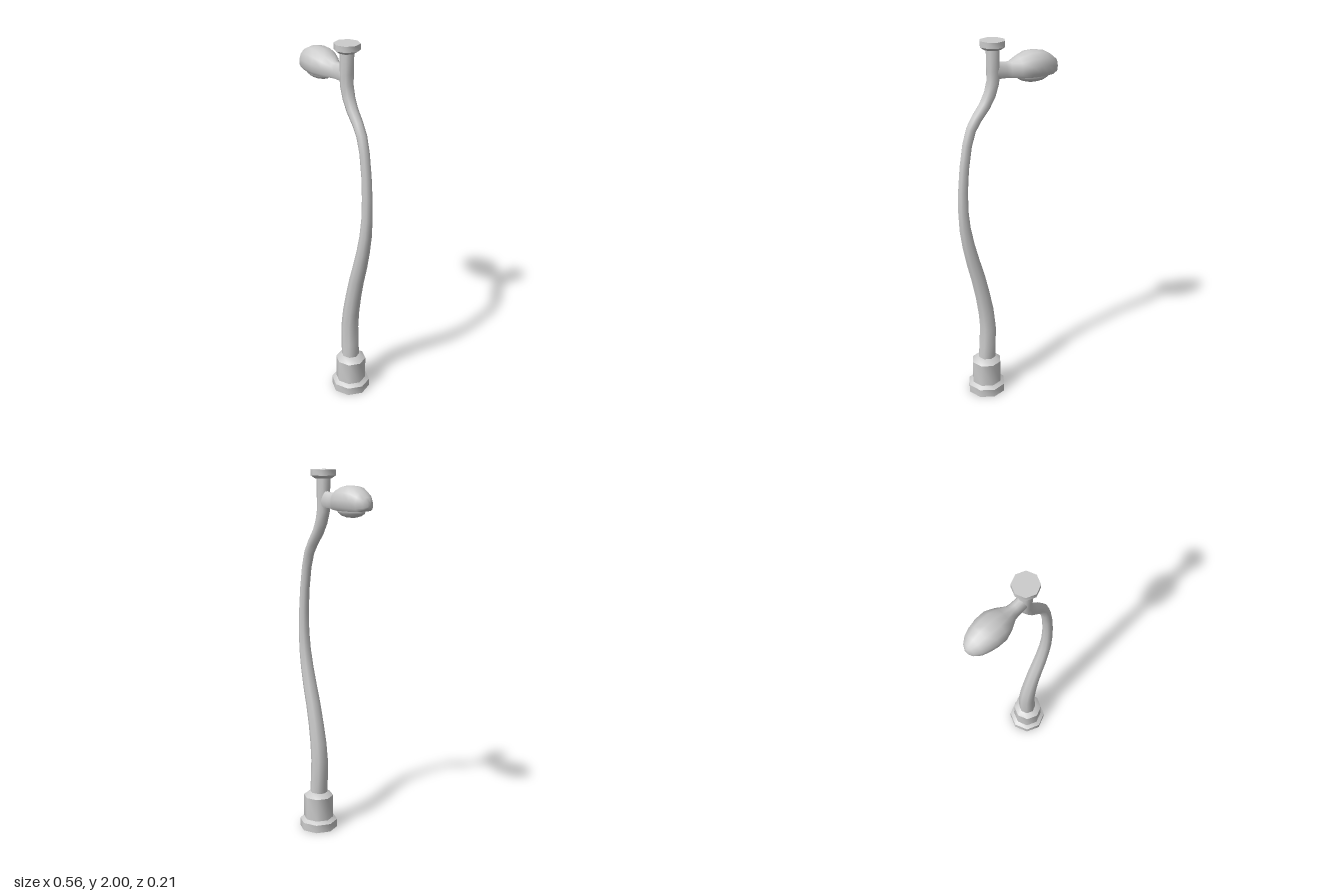
import * as THREE from 'three';
import { toCreasedNormals } from 'three/addons/utils/BufferGeometryUtils.js';

const material = new THREE.MeshStandardMaterial({ color: 0xcccccc });

// Skin a list of equal-length rings of points, closing both ends with fans.
function loft(rings) {
  const n = rings[0].length;
  const points = rings.flat();
  const index = [];
  for (let i = 0; i < rings.length - 1; i++) {
    for (let j = 0; j < n; j++) {
      const a = i * n + j, b = i * n + (j + 1) % n;
      index.push(a, a + n, b, b, a + n, b + n);
    }
  }
  const last = (rings.length - 1) * n;
  for (let j = 1; j < n - 1; j++) {
    index.push(0, j, j + 1, last, last + j + 1, last + j);
  }
  const geometry = new THREE.BufferGeometry().setFromPoints(points);
  geometry.setIndex(index);
  return toCreasedNormals(geometry, 0.85);
}

// Eight-sided turned part from [radius, y] pairs.
function turned(profile) {
  const points = profile.map(([r, y]) => new THREE.Vector2(r, y));
  return toCreasedNormals(new THREE.LatheGeometry(points, 8), 0.85);
}

export function createModel() {
  const group = new THREE.Group();
  const add = (name, geometry, x = 0, y = 0) => {
    const mesh = new THREE.Mesh(geometry, material);
    mesh.name = name;
    mesh.position.set(x, y, 0);
    group.add(mesh);
    return mesh;
  };

  // Stepped octagonal foot
  add('base', turned([
    [0, 0], [0.106, 0], [0.106, 0.045], [0.083, 0.06],
    [0.083, 0.19], [0.05, 0.215], [0, 0.215],
  ]), 0.128);

  // Curved, tapering pole: x, y, radius along its centre line
  const path = [
    [0.125, 0.19, 0.049], [0.12, 0.3, 0.048], [0.117, 0.4, 0.047],
    [0.127, 0.5, 0.045], [0.147, 0.61, 0.042], [0.172, 0.72, 0.04],
    [0.2, 0.82, 0.038], [0.224, 0.92, 0.035], [0.242, 1.02, 0.032],
    [0.25, 1.12, 0.029], [0.249, 1.24, 0.027], [0.24, 1.36, 0.026],
    [0.222, 1.48, 0.026], [0.199, 1.56, 0.027], [0.167, 1.615, 0.028],
    [0.122, 1.675, 0.03], [0.094, 1.73, 0.032], [0.077, 1.79, 0.034],
    [0.076, 1.85, 0.035], [0.077, 1.97, 0.036],
  ];
  add('pole', loft(path.map(([x, y, r], i) => {
    const [x0, y0] = path[Math.max(i - 1, 0)];
    const [x1, y1] = path[Math.min(i + 1, path.length - 1)];
    const t = new THREE.Vector2(x1 - x0, y1 - y0).normalize();
    return Array.from({ length: 8 }, (_, j) => {
      const a = j * Math.PI / 4, c = Math.cos(a) * r;
      return new THREE.Vector3(x + t.y * c, y - t.x * c, Math.sin(a) * r);
    });
  })));

  // Octagonal cap on the pole
  add('cap', turned([
    [0, 1.955], [0.045, 1.955], [0.066, 1.97], [0.066, 2], [0, 2],
  ]), 0.078);

  // Lamp housing with a flat underside: x, half width, bottom, top
  const section = [
    [1, 0.45], [0.86, 0.74], [0.5, 0.95], [0, 1], [-0.5, 0.95],
    [-0.86, 0.74], [-1, 0.45], [-0.97, 0.15], [-0.8, 0], [0.8, 0], [0.97, 0.15],
  ];
  const stations = [
    [-0.282, 0.012, 1.825, 1.86], [-0.27, 0.034, 1.815, 1.877],
    [-0.24, 0.057, 1.806, 1.902], [-0.2, 0.071, 1.805, 1.923],
    [-0.16, 0.079, 1.805, 1.929], [-0.11, 0.08, 1.805, 1.926],
    [-0.06, 0.061, 1.805, 1.907], [-0.015, 0.034, 1.807, 1.886],
    [0.01, 0.03, 1.809, 1.886], [0.045, 0.029, 1.809, 1.892],
    [0.075, 0.028, 1.809, 1.895],
  ];
  add('lampHousing', loft(stations.map(([x, w, y0, y1]) =>
    section.map(([z, f]) => new THREE.Vector3(x, y0 + f * (y1 - y0), z * w)))));

  // Shallow lens bulging below the housing
  const lens = new THREE.SphereGeometry(1, 12, 4, 0, Math.PI * 2, Math.PI / 2, Math.PI / 2);
  lens.scale(0.09, 0.037, 0.058);
  add('lens', lens, -0.145, 1.806);

  return group;
}
